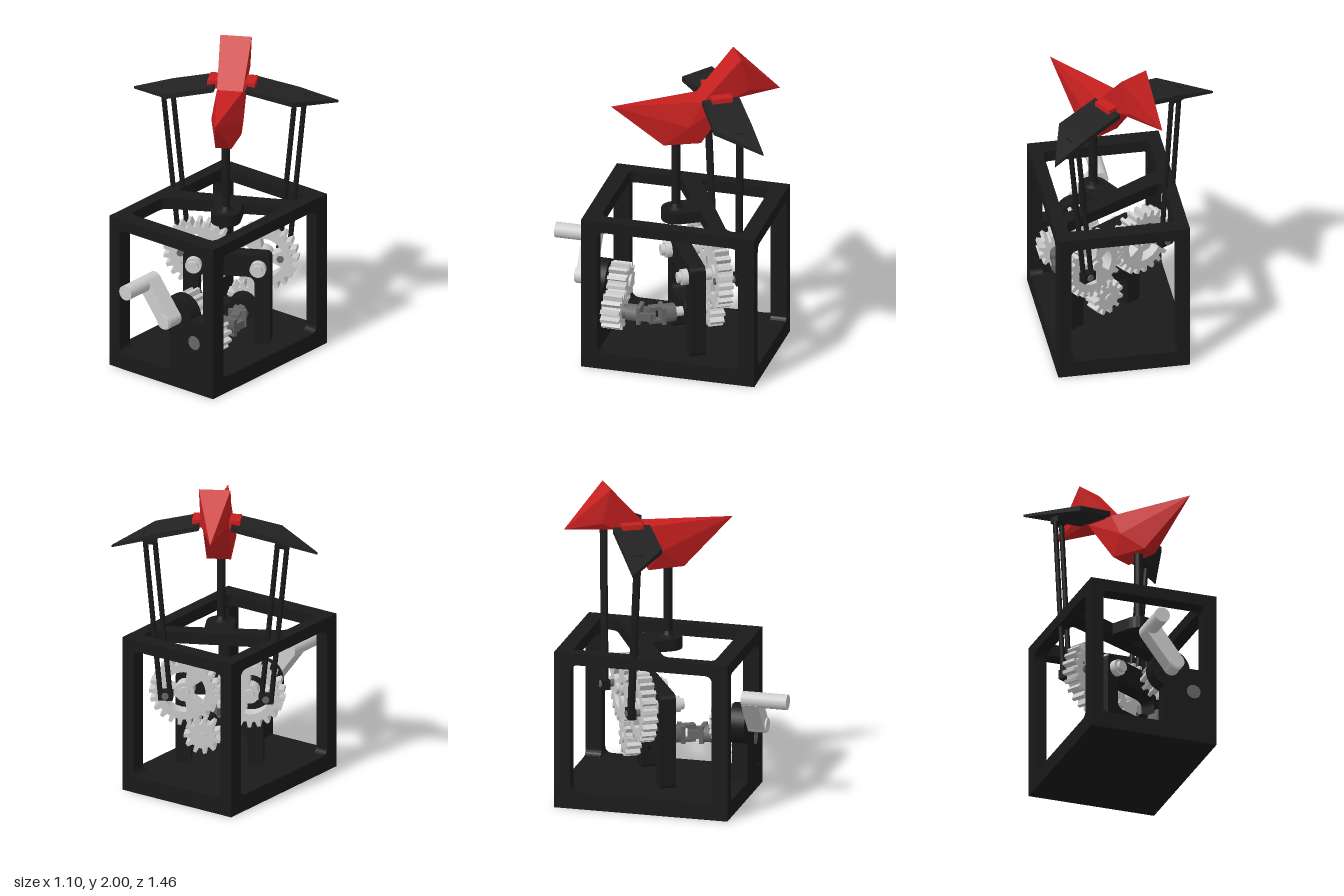
import * as THREE from 'three';
import { ConvexGeometry } from 'three/addons/geometries/ConvexGeometry.js';

const mat = (color, flatShading = false) => new THREE.MeshStandardMaterial({ color, flatShading });
const black = mat(0x1a1a1a), wingMat = mat(0x222222, true), red = mat(0xc82020, true);
const grey = mat(0xcccccc), dark = mat(0x666666);

export function createModel() {
  const model = new THREE.Group();

  function add(parent, name, geo, material, x = 0, y = 0, z = 0) {
    const m = new THREE.Mesh(geo, material);
    m.name = name;
    m.position.set(x, y, z);
    parent.add(m);
    return m;
  }
  const box = (p, name, m, w, h, d, x, y, z) => add(p, name, new THREE.BoxGeometry(w, h, d), m, x, y, z);
  // cylinder lying along z, from z0 to z1
  const rodZ = (p, name, m, r, x, y, z0, z1, sides = 24) =>
    add(p, name, new THREE.CylinderGeometry(r, r, z1 - z0, sides).rotateX(Math.PI / 2), m, x, y, (z0 + z1) / 2);
  // cylinder between two points
  function rod(p, name, m, r, a, b) {
    const va = new THREE.Vector3(...a), vb = new THREE.Vector3(...b);
    const mesh = add(p, name, new THREE.CylinderGeometry(r, r, va.distanceTo(vb), 12), m);
    mesh.position.lerpVectors(va, vb, 0.5);
    mesh.quaternion.setFromUnitVectors(new THREE.Vector3(0, 1, 0), vb.sub(va).normalize());
    return mesh;
  }
  const hull = (p, name, m, pts) =>
    add(p, name, new ConvexGeometry(pts.map(q => new THREE.Vector3(...q))), m);
  // polygon with rounded corners
  function polygon(Type, pts, r) {
    const path = new Type(), v = pts.map(q => new THREE.Vector2(...q)), n = v.length;
    for (let i = 0; i < n; i++) {
      const c = v[i];
      const a = v[(i + n - 1) % n].clone().sub(c).setLength(r).add(c);
      const b = v[(i + 1) % n].clone().sub(c).setLength(r).add(c);
      if (i) path.lineTo(a.x, a.y); else path.moveTo(a.x, a.y);
      if (r) path.quadraticCurveTo(c.x, c.y, b.x, b.y);
    }
    path.closePath();
    return path;
  }
  const rect = (x0, x1, y0, y1) => [[x0, y0], [x1, y0], [x1, y1], [x0, y1]];
  function plate(outline, holes, depth, corner = 0) {
    const shape = polygon(THREE.Shape, outline, corner);
    shape.holes = holes.map(h => polygon(THREE.Path, h, 0.05));
    return new THREE.ExtrudeGeometry(shape, { depth, bevelEnabled: false, curveSegments: 6 });
  }

  // Open box frame
  const frame = new THREE.Group();
  frame.name = 'frame';
  model.add(frame);
  box(frame, 'floor', black, 0.82, 0.105, 1.1, 0.1, 0.0525, -0.107);
  const endWall = plate(rect(-0.31, 0.51, 0, 1), [rect(-0.235, 0.43, 0.105, 0.925)], 0.1);
  add(frame, 'frontWall', endWall, black, 0, 0, 0.343);
  add(frame, 'backWall', endWall, black, 0, 0, -0.657);
  const sideWall = plate(rect(-0.443, 0.657, 0, 1), [rect(-0.345, 0.555, 0.105, 0.925)], 0.08).rotateY(Math.PI / 2);
  add(frame, 'leftWall', sideWall, black, 0.43);
  add(frame, 'rightWall', sideWall, black, -0.31);
  // top with a diagonal beam between two openings
  const topHoles = [
    [[-0.235, -0.34], [0.43, -0.34], [0.43, 0.36], [-0.235, -0.025]],
    [[-0.235, 0.11], [0.43, 0.49], [0.43, 0.57], [-0.235, 0.57]],
  ];
  topHoles[1] = [[-0.235, 0.11], [0.43, 0.46], [0.43, 0.57], [-0.235, 0.57]];
  add(frame, 'top', plate(rect(-0.31, 0.51, -0.443, 0.657), topHoles, 0.075).rotateX(-Math.PI / 2), black, 0, 0.925, 0);
  // bearing panel for the crank
  box(frame, 'bearingPanel', black, 0.26, 0.39, 0.1, 0.3, 0.29, 0.392);
  rodZ(frame, 'crankBearing', black, 0.125, 0.21, 0.47, 0.343, 0.442, 32);

  // Toothed wheel, optionally with cut-outs between spokes
  function gearGeo(teeth, outer, root, depth, spokes = 0) {
    const s = new THREE.Shape(), step = (Math.PI * 2) / teeth;
    for (let i = 0; i < teeth; i++) {
      [[root, -0.32], [outer, -0.17], [outer, 0.17], [root, 0.32]].forEach(([r, f], k) => {
        const a = (i + f) * step;
        s[i || k ? 'lineTo' : 'moveTo'](r * Math.cos(a), r * Math.sin(a));
      });
    }
    s.closePath();
    for (let i = 0; i < spokes; i++) {
      const a0 = ((i + 0.2) / spokes) * Math.PI * 2, a1 = ((i + 0.8) / spokes) * Math.PI * 2;
      const h = new THREE.Path();
      h.absarc(0, 0, 0.13, a0, a1, false);
      h.absarc(0, 0, 0.06, a1, a0, true);
      h.closePath();
      s.holes.push(h);
    }
    return new THREE.ExtrudeGeometry(s, { depth, bevelEnabled: false, curveSegments: 10 });
  }

  // Hand crank and front gear pair
  const crank = new THREE.Group();
  crank.name = 'crank';
  model.add(crank);
  rodZ(crank, 'crankShaft', grey, 0.045, 0.21, 0.47, 0.2, 0.56);
  rodZ(crank, 'crankHub', grey, 0.05, 0.21, 0.47, 0.442, 0.55);
  rodZ(crank, 'handle', grey, 0.048, 0.05, 0.68, 0.442, 0.73);
  box(crank, 'crankArm', grey, 0.264, 0.098, 0.108, 0.13, 0.575, 0.496).rotation.z = Math.atan2(0.21, -0.16);
  const pairGeo = gearGeo(12, 0.117, 0.085, 0.12);
  add(crank, 'crankGear', pairGeo, grey, 0.21, 0.47, 0.215);
  add(crank, 'drivenGear', pairGeo, grey, 0.36, 0.335, 0.215).rotation.z = 0.26;
  rodZ(crank, 'driveShaft', dark, 0.045, 0.36, 0.335, 0.12, 0.444);

  // Everything driven sits turned 30 degrees
  const turned = new THREE.Group();
  turned.name = 'turnedMechanism';
  turned.position.set(0.19, 0, -0.07);
  turned.rotation.y = Math.PI / 6;
  model.add(turned);

  // Universal joint: two forks and a cross
  function yoke(parent, name, dir, upright) {
    const g = new THREE.Group();
    g.name = name;
    parent.add(g);
    rodZ(g, 'jointHub', dark, 0.058, 0, 0, 0.08, 0.15, 6);
    box(g, 'forkBase', dark, 0.11, 0.11, 0.025, 0, 0, 0.07);
    for (const s of [-1, 1]) box(g, 'forkArm', dark, 0.02, 0.05, 0.09, s * 0.045, 0, 0.03);
    if (upright) g.rotation.z = Math.PI / 2;
    if (dir < 0) g.rotation.y = Math.PI;
    return g;
  }
  yoke(model, 'frontYoke', 1, false).position.set(0.36, 0.335, 0.04);
  yoke(turned, 'rearYoke', -1, true).position.set(0.09, 0.335, 0.18);
  box(turned, 'jointCross', dark, 0.08, 0.04, 0.04, 0.09, 0.335, 0.18);
  box(turned, 'jointCross', dark, 0.04, 0.08, 0.04, 0.09, 0.335, 0.18);

  // Bearing bracket
  const arch = plate(rect(-0.27, 0.27, 0.1, 0.7), [rect(-0.175, 0.175, 0.37, 0.555), rect(-0.175, 0.175, 0.08, 0.3)]
    .slice(0, 1), 0.1, 0.04);
  arch.dispose();
  const bracket = polygon(THREE.Shape, [[-0.27, 0.09], [-0.175, 0.09], [-0.175, 0.3], [0.175, 0.3], [0.175, 0.09],
    [0.27, 0.09], [0.27, 0.7], [-0.27, 0.7]], 0.04);
  bracket.holes.push(polygon(THREE.Path, rect(-0.175, 0.175, 0.37, 0.555), 0.05));
  add(turned, 'bracket', new THREE.ExtrudeGeometry(bracket, { depth: 0.1, bevelEnabled: false }), black, 0, 0, -0.12);
  rodZ(turned, 'pinionBearing', black, 0.08, 0.09, 0.335, -0.12, -0.02);
  rodZ(turned, 'pinionShaft', grey, 0.03, 0.09, 0.335, -0.27, 0.06);
  add(turned, 'pinion', gearGeo(11, 0.115, 0.08, 0.09), grey, 0.09, 0.335, -0.26);

  const bigGear = gearGeo(22, 0.217, 0.18, 0.09, 3);
  for (const s of [-1, 1]) {
    const X = (x, y, z) => [s * x, y, z];
    // Wheel, axle and crank pin
    const wheel = add(turned, 'wheelGear', bigGear, grey, s * 0.2, 0.62, -0.26);
    wheel.rotation.z = s < 0 ? Math.PI / 22 + Math.PI : 0;
    rodZ(turned, 'axle', grey, 0.035, s * 0.2, 0.62, -0.28, 0.045);
    rodZ(turned, 'axleCollar', grey, 0.05, s * 0.2, 0.62, -0.02, 0.02);
    rodZ(turned, 'crankPin', dark, 0.022, s * 0.31, 0.62, -0.35, -0.16);
    // Paired push rods with end blocks
    for (const o of [-0.03, 0.03])
      rod(turned, 'pushRod', black, 0.016, X(0.31 + o, 0.6, -0.317), X(0.41 + o, 1.65, -0.3));
    box(turned, 'rodFoot', black, 0.09, 0.06, 0.05, s * 0.31, 0.62, -0.317);
    box(turned, 'rodHead', black, 0.08, 0.07, 0.06, s * 0.408, 1.64, -0.3);

    // Wing in two folded panels
    const slab = pts => pts.flatMap(([x, y, z]) => [X(x, y, z), X(x, y - 0.033, z)]);
    hull(turned, 'innerWing', wingMat, slab([[0.1, 1.755, -0.375], [0.1, 1.755, -0.14],
      [0.39, 1.69, -0.14], [0.39, 1.69, -0.383]]));
    hull(turned, 'outerWing', wingMat, [...slab([[0.39, 1.69, -0.14], [0.39, 1.69, -0.383]]),
      X(0.635, 1.615, -0.39), X(0.635, 1.6, -0.39)]);
    box(turned, 'wingHinge', red, 0.075, 0.05, 0.13, s * 0.11, 1.75, -0.26);
  }

  // Post with a flared foot on the beam
  add(turned, 'post', new THREE.LatheGeometry([[0, 0.925], [0.09, 0.925], [0.09, 1], [0.055, 1.002], [0.036, 1.012],
    [0.027, 1.035], [0.027, 1.47], [0, 1.47]].map(q => new THREE.Vector2(...q)), 24), mat(0x1a1a1a, true));
  box(turned, 'postBridge', black, 0.18, 0.074, 0.16, 0, 0.962, -0.08);

  // Faceted bird
  const pair = (x, y, z) => [[x, y, z], [-x, y, z]];
  hull(turned, 'body', red, [[0, 1.735, 0.41], ...pair(0.05, 1.455, 0.09), ...pair(0.075, 1.455, -0.14),
    ...pair(0.1, 1.58, -0.06), ...pair(0.08, 1.735, -0.15), ...pair(0.08, 1.735, -0.34)]);
  hull(turned, 'head', red, [...pair(0.08, 1.735, -0.15), ...pair(0.098, 2, -0.388),
    ...pair(0.08, 1.735, -0.34), ...pair(0.08, 1.78, -0.44), [0, 1.735, -0.66]]);

  return model;
}
